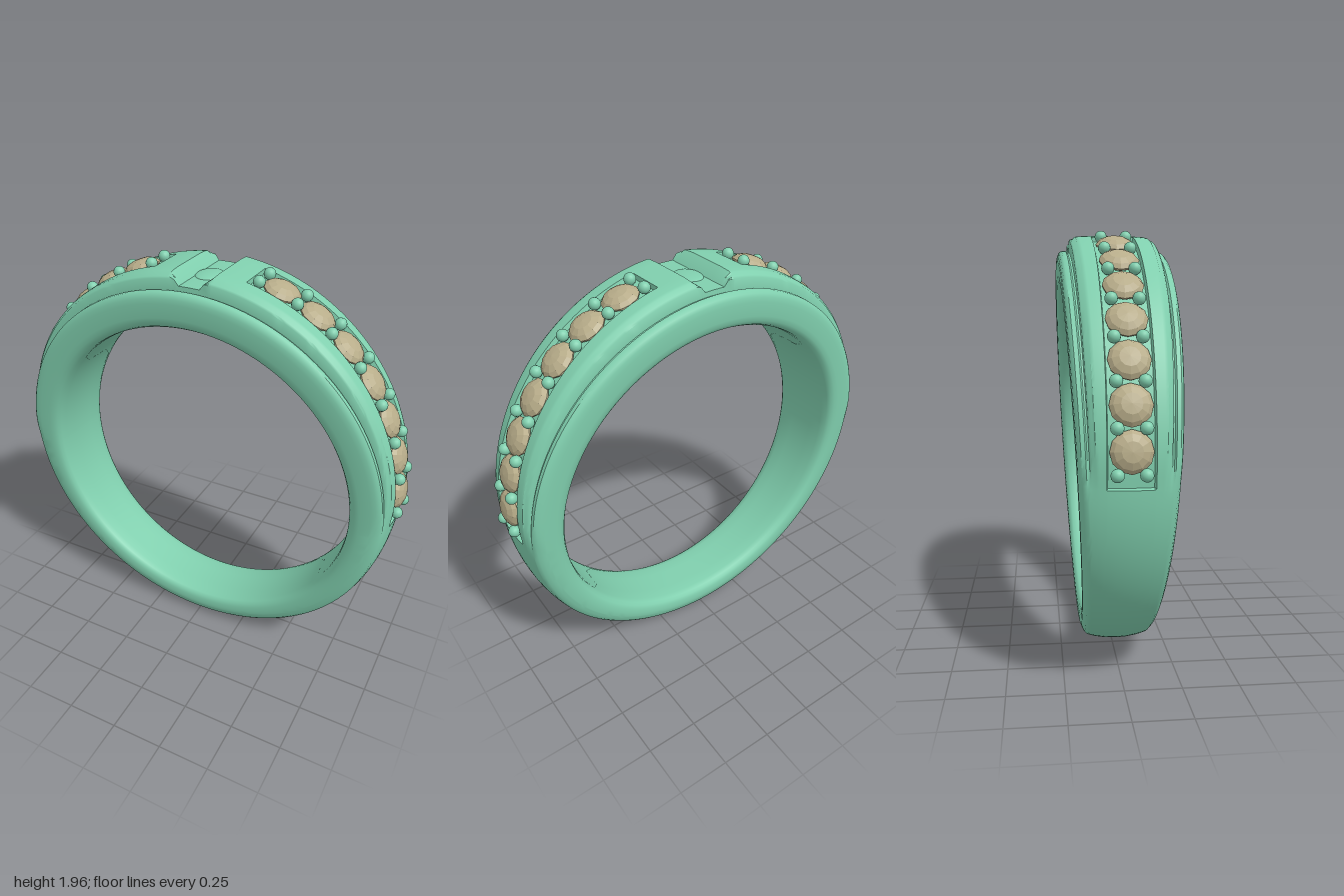
import * as THREE from 'three';
import { toCreasedNormals } from 'three/addons/utils/BufferGeometryUtils.js';

const CY = 0.93; // height of the ring's axis
const rad = THREE.MathUtils.degToRad;
const { smoothstep, lerp, clamp } = THREE.MathUtils;

// Crest radius: thin at the bottom, swelling towards the top
const crest = (deg) => {
  const s = Math.sin(rad(deg));
  return 0.965 + (s > 0 ? 0.065 : 0.035) * s;
};
// Half width of the band, tapering towards the bottom
const halfWidth = (y) => 0.155 + (y - 0.05) * 0.052;

// Half cross-section at an angle: [z, y-radius] from the middle of the outside to the middle of the inside
function halfSection(deg) {
  const s = Math.sin(rad(deg));
  const R = crest(deg);
  const S = 0.945 + 0.015 * s; // side shoulders
  const up = smoothstep(deg, -3, 9);
  const hw = halfWidth(CY + 0.95 * s);
  const inRecess = deg > -0.8 && deg < 77.5;
  const notch = lerp(0.975, 1.04, clamp((90 - deg - 2.9) / 2.6, 0, 1));
  const upper = [
    [0, R], [0.045 / hw, R], [0.09 / hw, R], [0.095 / hw, R],
    [0.6, R - 0.003], [0.66, R - 0.006], [0.69, R - 0.014], [0.74, R - 0.018], [0.765, R - 0.026],
    [0.775, S - 0.008], [0.81, S - 0.008], [0.84, S], [0.92, S - 0.002], [0.965, S - 0.012], [0.99, S - 0.028], [1, S - 0.05],
  ];
  const outer = upper.map(([f, r], i) => {
    if (i < 9) r = Math.min(r, notch);
    else r = Math.min(r, R - 0.01);
    const plain = R - 0.03 * f ** 2.2 - 0.04 * Math.max(0, (f - 0.85) / 0.15) ** 2;
    r = lerp(plain, r, up);
    if (inRecess && i < 3) r -= 0.022;
    return [f, r];
  });
  // Flank and rounded comfort-fit inside
  const inner = [[1, 0.845], [0.985, 0.822], [0.94, 0.803], [0.86, 0.792], [0.7, 0.786], [0.35, 0.785], [0, 0.785]];
  return [...outer, ...inner].map(([f, r]) => [f * halfWidth(CY + r * s), r]);
}

function bandGeometry() {
  // Angles from bottom to top, refined at the recess ends and the notch
  const half = [-0.95, -0.65, 77.35, 77.65, 84.5, 87.1, 88.5];
  for (let d = -90; d <= 90; d += 2) half.push(d);
  half.sort((a, b) => a - b);
  const stations = half.map((d) => [d, 1]);
  for (const d of half.slice(1, -1).reverse()) stations.push([d, -1]);

  const pos = [], index = [];
  let n = 0;
  for (const [deg, side] of stations) {
    const h = halfSection(deg);
    const loop = [...h, ...h.slice(1, -1).reverse().map(([z, r]) => [-z, r])];
    n = loop.length;
    for (const [z, r] of loop) pos.push(side * r * Math.cos(rad(deg)), CY + r * Math.sin(rad(deg)), z);
  }
  const m = stations.length;
  for (let i = 0; i < m; i++) {
    for (let j = 0; j < n; j++) {
      const i2 = (i + 1) % m, j2 = (j + 1) % n;
      const a = i * n + j, b = i2 * n + j, c = i2 * n + j2, d = i * n + j2;
      index.push(a, b, d, b, c, d);
    }
  }
  const g = new THREE.BufferGeometry();
  g.setAttribute('position', new THREE.Float32BufferAttribute(pos, 3));
  g.setIndex(index);
  return toCreasedNormals(g, rad(38));
}

export function createModel() {
  const group = new THREE.Group();
  const metal = new THREE.MeshStandardMaterial({ color: 0x80cfae });
  const gem = new THREE.MeshStandardMaterial({ color: 0xb8ad8a, flatShading: true });

  const add = (name, geometry, material, parent = group) => {
    const mesh = new THREE.Mesh(geometry, material);
    mesh.name = name;
    parent.add(mesh);
    return mesh;
  };

  add('band', bandGeometry(), metal);

  // Small raised saddle in the middle of the top notch
  const saddle = add('notchSaddle', new THREE.SphereGeometry(1, 24, 16), metal);
  saddle.scale.set(0.06, 0.014, 0.08);
  saddle.position.set(0, 1.903, 0);

  // Faceted stone: pointed below, domed crown above
  const stoneGeo = new THREE.LatheGeometry(
    [[0, -0.05], [0.084, -0.006], [0.086, 0.002], [0.07, 0.019], [0.042, 0.032], [0, 0.036]]
      .map(([x, y]) => new THREE.Vector2(x, y)), 12);
  const prongGeo = new THREE.SphereGeometry(0.027, 16, 12);

  // Seven stones per side with pairs of bead prongs between them
  for (const side of [1, -1]) {
    const row = new THREE.Group();
    row.name = side > 0 ? 'leftStoneRow' : 'rightStoneRow';
    group.add(row);
    const place = (mesh, deg, r, z = 0) => {
      mesh.position.set(side * r * Math.cos(rad(deg)), CY + r * Math.sin(rad(deg)), z);
      mesh.rotation.z = side * rad(deg - 90);
    };
    for (let i = 0; i < 7; i++) {
      const deg = 7.8 + i * 10.4;
      place(add('stone', stoneGeo, gem, row), deg, crest(deg) - 0.01);
    }
    for (let i = 0; i < 8; i++) {
      const deg = 2.6 + i * 10.4;
      for (const z of [-0.056, 0.056]) place(add('prong', prongGeo, metal, row), deg, crest(deg) + 0.006, z);
    }
  }
  return group;
}
